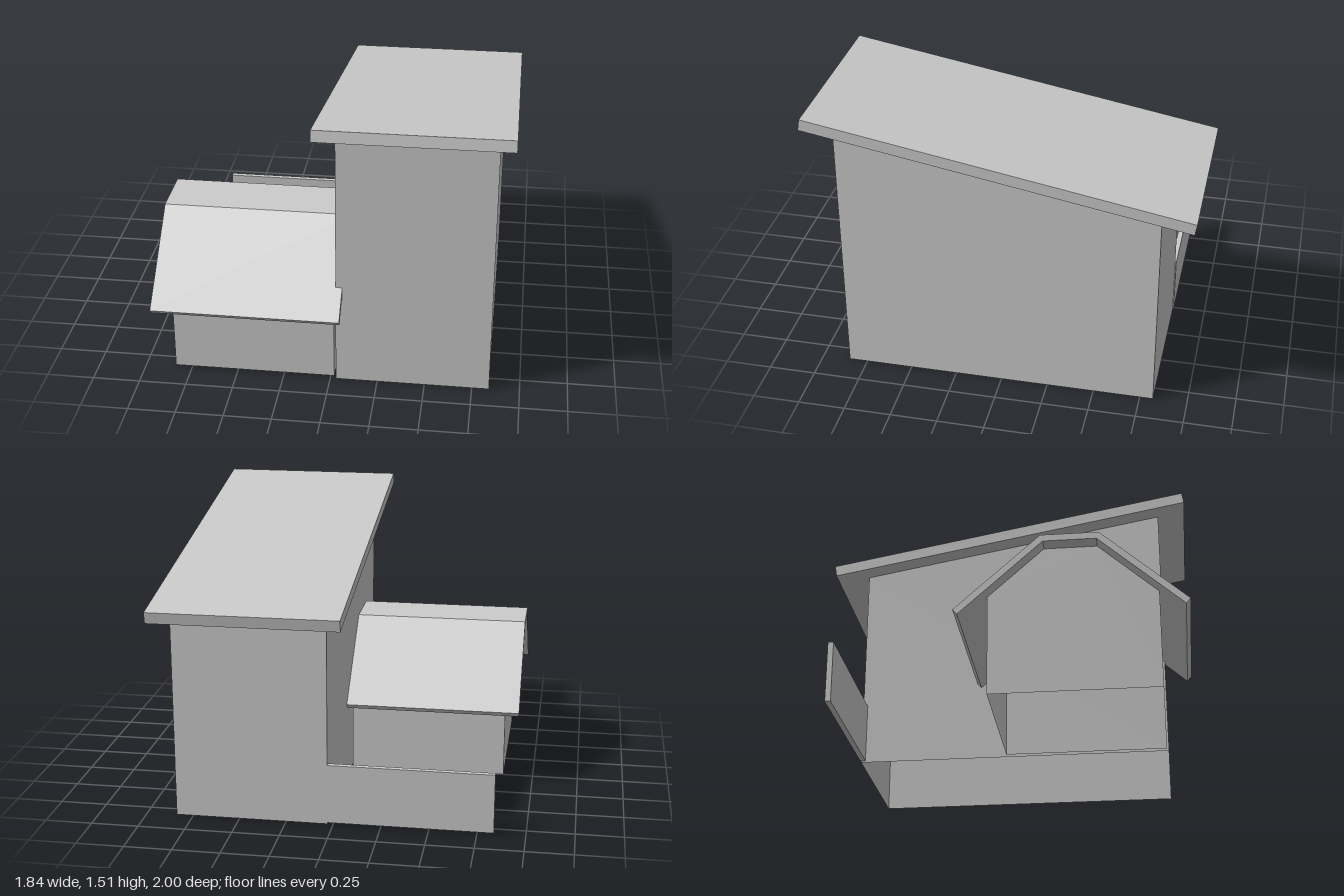
import * as THREE from 'three';

const material = new THREE.MeshStandardMaterial({ color: 0xcccccc, flatShading: true, side: THREE.DoubleSide });

// Prism with a [z, y] profile, running from x0 to x1
function prism(name, profile, x0, x1, openBottom = false) {
  const shape = new THREE.Shape(profile.map(([z, y]) => new THREE.Vector2(z, y)));
  let geometry = new THREE.ExtrudeGeometry(shape, { depth: x1 - x0, bevelEnabled: false });
  geometry.rotateY(-Math.PI / 2).translate(x1, 0, 0);
  if (openBottom) geometry = removeFloor(geometry, Math.min(...profile.map((p) => p[1])));
  const mesh = new THREE.Mesh(geometry, material);
  mesh.name = name;
  return mesh;
}

// Drops the triangles lying flat at the given height
function removeFloor(geometry, floorY) {
  const source = geometry.index ? geometry.toNonIndexed() : geometry;
  const p = source.getAttribute('position');
  const kept = [];
  for (let i = 0; i < p.count; i += 3) {
    const corners = [i, i + 1, i + 2];
    if (corners.every((c) => Math.abs(p.getY(c) - floorY) < 1e-4)) continue;
    for (const c of corners) kept.push(p.getX(c), p.getY(c), p.getZ(c));
  }
  const shell = new THREE.BufferGeometry();
  shell.setAttribute('position', new THREE.Float32BufferAttribute(kept, 3));
  shell.computeVertexNormals();
  return shell;
}

export function createModel() {
  const model = new THREE.Group();
  model.name = 'shed';

  // Tall house: hollow walls with a sloping top, under a tilted slab roof
  const house = new THREE.Group();
  house.name = 'house';
  house.add(
    prism('houseWalls', [[0.85, 0], [0.85, 1.425], [-0.82, 1.128], [-0.82, 0]], 0.03, 0.84, true),
    prism('houseRoof', [[1, 1.455], [0.99, 1.515], [-1, 1.16], [-0.99, 1.1]], -0.07, 0.92)
  );

  // Low annex: hollow gabled walls
  const annex = new THREE.Group();
  annex.name = 'annex';
  annex.add(prism('annexWalls', [
    [0.84, 0.01], [0.84, 0.523], [0.537, 0.794], [0.263, 0.794], [-0.022, 0.539], [-0.022, 0.01],
  ], -0.837, 0.02, true));

  // Annex roof: flat ridge and two mirrored slopes
  const ridgeZ = 0.4025;
  const half = [[0.148, 0.83], [0.588, 0.437], [0.565, 0.411], [0.135, 0.795]];
  const front = half.map(([d, y]) => [ridgeZ + d, y]);
  const back = half.map(([d, y]) => [ridgeZ - d, y]).reverse();
  annex.add(prism('annexRoof', [...front, ...back], -0.92, 0.065));

  // Thin fence along the back
  const fence = prism('fence', [[-0.797, 0.01], [-0.797, 0.33], [-0.826, 0.33], [-0.826, 0.01]], -0.837, 0.03);

  model.add(house, annex, fence);
  return model;
}
